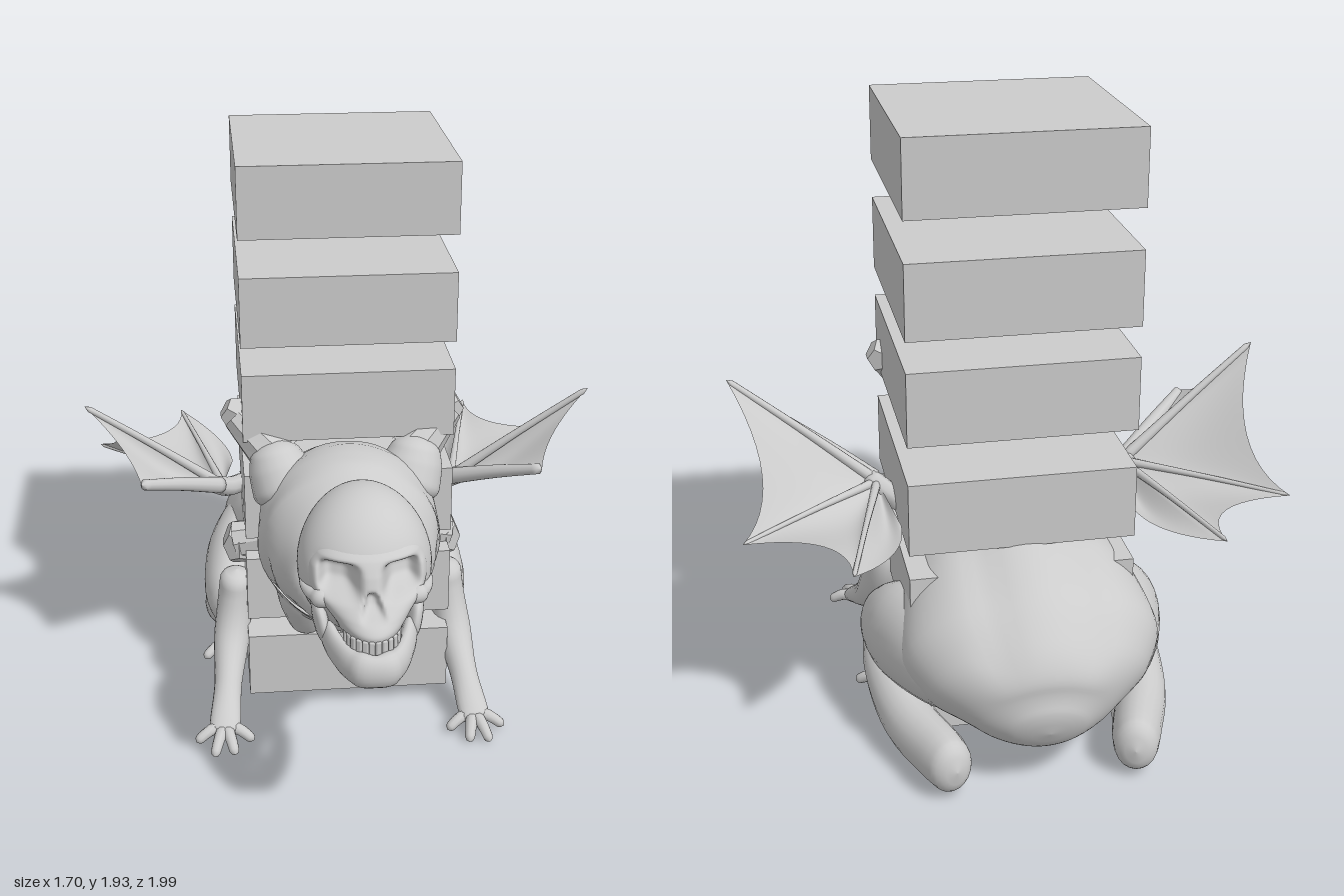
import * as THREE from 'three';
import { RoundedBoxGeometry } from 'three/addons/geometries/RoundedBoxGeometry.js';

const grey = new THREE.MeshStandardMaterial({ color: 0xcccccc });
const thin = new THREE.MeshStandardMaterial({ color: 0xcccccc, side: THREE.DoubleSide });
const faceted = new THREE.MeshStandardMaterial({ color: 0xcccccc, flatShading: true });
const X = new THREE.Vector3(1, 0, 0), Y = new THREE.Vector3(0, 1, 0);
const V = (x, y, z) => new THREE.Vector3(x, y, z);

function add(parent, name, geo, mat = grey) {
  const m = new THREE.Mesh(geo, mat);
  m.name = name;
  parent.add(m);
  return m;
}

// Skin over stations [x, y, z, radius along ref, other radius], rounded at both ends
function loft(st, { ref = X, n = 20, steps = 28, cap = 0.08, s = 1 } = {}) {
  const path = new THREE.CatmullRomCurve3(st.map(p => V(p[0] * s, p[1], p[2])));
  const radii = new THREE.CatmullRomCurve3(st.map(p => V(p[3], p[4] ?? p[3], 0)));
  const pos = [], idx = [];
  for (let i = 0; i <= steps; i++) {
    // ease the spacing so that the rounded ends get more rings
    const u = i / steps, t = u * 0.5 + (1 - Math.cos(Math.PI * u)) * 0.25;
    const c = path.getPoint(t), r = radii.getPoint(t), T = path.getTangent(t);
    const e = cap > 0 ? Math.min(1, Math.min(t, 1 - t) / cap) : 1;
    const k = Math.sqrt(Math.max(0, 1 - (1 - e) ** 2));
    const A = ref.clone().addScaledVector(T, -ref.dot(T)).normalize();
    const B = T.clone().cross(A);
    for (let j = 0; j < n; j++) {
      const a = j / n * Math.PI * 2;
      const p = c.clone().addScaledVector(A, Math.cos(a) * r.x * k).addScaledVector(B, Math.sin(a) * r.y * k);
      pos.push(p.x, p.y, p.z);
      if (i < steps) {
        const j2 = (j + 1) % n, a0 = i * n + j, a1 = i * n + j2;
        idx.push(a0, a1, a0 + n, a1, a1 + n, a0 + n);
      }
    }
  }
  return indexed(pos, idx);
}

function indexed(pos, idx) {
  const g = new THREE.BufferGeometry();
  g.setAttribute('position', new THREE.Float32BufferAttribute(pos, 3));
  g.setIndex(idx);
  g.computeVertexNormals();
  return g;
}

function warp(geo, fn) {
  const p = geo.attributes.position, v = V(0, 0, 0);
  for (let i = 0; i < p.count; i++) {
    fn(v.fromBufferAttribute(p, i));
    p.setXYZ(i, v.x, v.y, v.z);
  }
  geo.computeVertexNormals();
  return geo;
}

// Eye sockets and nose opening pressed into the front of the skull
function sockets(v) {
  if (v.z < 0.7) return;
  const x = Math.abs(v.x);
  const eye = Math.exp(-(((x - 0.09) / 0.05) ** 4 + ((v.y - 0.94) / 0.042) ** 4));
  const nose = Math.exp(-((x / (0.012 + Math.max(0, 0.92 - v.y) * 0.3)) ** 4 + ((v.y - 0.885) / 0.03) ** 4));
  v.z -= 0.09 * eye + 0.04 * nose;
}

function buildSkull() {
  const g = new THREE.Group();
  g.name = 'skull';
  add(g, 'cranium', warp(new THREE.SphereGeometry(1, 72, 56), v => {
    v.set(v.x * 0.197 * (1 + 0.14 * v.z), 0.905 + v.y * 0.225, 0.61 + v.z * 0.225);
    sockets(v);
  }));
  add(g, 'face', warp(loft([
    [0, 1.05, 0.72, 0.1, 0.03], [0, 1.0, 0.72, 0.15, 0.105], [0, 0.96, 0.72, 0.17, 0.13], [0, 0.92, 0.72, 0.174, 0.145],
    [0, 0.88, 0.72, 0.165, 0.17], [0, 0.85, 0.72, 0.14, 0.205], [0, 0.82, 0.72, 0.115, 0.228], [0, 0.79, 0.72, 0.1, 0.222],
  ], { n: 128, steps: 72, cap: 0.03 }), sockets));
  add(g, 'jaw', loft([[-0.128, 0.755, 0.75, 0.05, 0.022], [-0.1, 0.735, 0.85, 0.048, 0.026], [-0.055, 0.728, 0.94, 0.05, 0.03],
    [0, 0.728, 0.968, 0.05, 0.03], [0.055, 0.728, 0.94, 0.05, 0.03], [0.1, 0.735, 0.85, 0.048, 0.026],
    [0.128, 0.755, 0.75, 0.05, 0.022]], { ref: Y, steps: 40 }));
  for (const s of [1, -1]) {
    add(g, 'jawHinge', loft([[0.15, 0.88, 0.69, 0.018, 0.03], [0.145, 0.81, 0.73, 0.02, 0.045], [0.125, 0.72, 0.79, 0.02, 0.045]], { s, cap: 0.2 }));
    add(g, 'cheekbone', loft([[0.11, 0.87, 0.81, 0.02], [0.155, 0.872, 0.775, 0.02], [0.182, 0.87, 0.71, 0.013], [0.175, 0.875, 0.62, 0.012]], { s, ref: Y }));
  }
  const tooth = new RoundedBoxGeometry(0.018, 0.032, 0.018, 1, 0.005);
  for (let i = 0; i < 12; i++) {
    const a = (i - 5.5) * 0.235;
    for (const y of [0.797, 0.777]) {
      const t = add(g, 'tooth', tooth);
      t.position.set(Math.sin(a) * 0.078, y, 0.84 + Math.cos(a) * 0.105);
      t.rotation.y = a;
    }
  }
  return g;
}

// Four digits spread from one point
function digits(g, name, from, tips, s) {
  for (const t of tips) {
    const mid = [(from[0] + t[0]) / 2, (from[1] + t[1]) / 2 + 0.015, (from[2] + t[2]) / 2];
    add(g, name, loft([[...from, 0.026], [...mid, 0.02], [...t, 0.016]], { s, n: 10, steps: 12, cap: 0.15 }));
  }
}

function buildLimbs(s, side) {
  const g = new THREE.Group();
  g.name = side + 'Limbs';
  add(g, 'frontLeg', loft([[0.365, 0.485, -0.095, 0.055, 0.06], [0.372, 0.38, -0.1, 0.06, 0.075], [0.39, 0.25, -0.04, 0.062, 0.067],
    [0.41, 0.14, 0.1, 0.047, 0.048], [0.425, 0.07, 0.22, 0.052, 0.032], [0.43, 0.05, 0.26, 0.045, 0.022]], { s }));
  digits(g, 'finger', [0.425, 0.055, 0.22], [[0.33, 0.025, 0.27], [0.395, 0.02, 0.34], [0.465, 0.02, 0.345], [0.525, 0.03, 0.27]], s);

  add(g, 'thigh', loft([[0.12, 0.34, -0.82, 0.1, 0.1], [0.24, 0.35, -0.69, 0.15, 0.16], [0.345, 0.32, -0.48, 0.125, 0.165],
    [0.39, 0.27, -0.32, 0.09, 0.125], [0.4, 0.25, -0.21, 0.05, 0.08]], { s, n: 28 }));
  add(g, 'shin', loft([[0.4, 0.24, -0.25, 0.06, 0.07], [0.405, 0.17, -0.42, 0.075, 0.08], [0.37, 0.12, -0.65, 0.08, 0.09],
    [0.3, 0.115, -0.85, 0.075, 0.09], [0.27, 0.12, -0.95, 0.06, 0.08]], { s, cap: 0.12 }));
  add(g, 'hindFoot', loft([[0.29, 0.08, -0.88, 0.05, 0.05], [0.34, 0.07, -0.62, 0.06, 0.045], [0.39, 0.06, -0.4, 0.05, 0.035],
    [0.41, 0.045, -0.29, 0.05, 0.025]], { s }));
  digits(g, 'toe', [0.405, 0.05, -0.32], [[0.34, 0.02, -0.24], [0.39, 0.02, -0.19], [0.44, 0.02, -0.2], [0.49, 0.025, -0.26]], s);

  // Cut stumps of the upper limbs, capped with faceted ends
  add(g, 'shoulder', loft([[0.18, 0.84, 0.12, 0.12], [0.22, 0.95, 0.07, 0.1], [0.24, 1.03, 0.04, 0.065]], { s, cap: 0.25 }));
  add(g, 'upperStump', loft([[0.22, 0.96, 0.03, 0.085], [0.29, 1.03, -0.01, 0.068], [0.35, 1.09, -0.04, 0.052]], { s, n: 9, steps: 4, cap: 0 }), faceted);
  const stub = new THREE.DodecahedronGeometry(0.06);
  add(g, 'upperStumpEnd', stub, faceted).position.set(0.345 * s, 1.09, -0.05);
  add(g, 'lowerStump', loft([[0.24, 0.64, -0.05, 0.06, 0.05], [0.36, 0.61, -0.075, 0.07, 0.06]], { s, ref: Y, n: 9, steps: 3, cap: 0 }), faceted);
  const low = add(g, 'lowerStumpEnd', stub, faceted);
  low.position.set(0.355 * s, 0.6, -0.08);
  low.scale.set(0.95, 1.4, 1.15);
  return g;
}

function buildWing(s, side) {
  const g = new THREE.Group();
  g.name = side + 'Wing';
  const root = [0.4, 0.74, -0.24];
  // Rim of the membrane: tips alternate with the hollows between them
  const rim = [[0.36, 0.71, -0.5], [0.41, 0.72, -0.69], [0.545, 0.76, -0.87], [0.61, 0.755, -0.67], [0.84, 0.75, -0.605],
    [0.765, 0.87, -0.4], [0.85, 1.09, -0.16], [0.735, 0.95, -0.125], [0.67, 0.87, 0]];
  const pos = [], idx = [], sub = 12, rings = 14, cols = (rim.length - 1) / 2 * sub;
  for (let i = 0; i <= cols; i++) {
    const k = Math.min(Math.floor(i / sub), (rim.length - 3) / 2), f = i / sub - k;
    // each span is a parabola from tip to tip through the hollow
    const [a, m, b] = rim.slice(2 * k, 2 * k + 3);
    const p = a.map((_, c) => a[c] * (1 - f) * (1 - 2 * f) + m[c] * 4 * f * (1 - f) + b[c] * f * (2 * f - 1));
    for (let j = 0; j <= rings; j++) {
      const t = j / rings;
      const q = root.map((o, c) => o + (p[c] - o) * t);
      pos.push(q[0] * s, q[1] - 0.035 * Math.sin(Math.PI * f) * Math.sin(Math.PI * t), q[2]);
      if (i < cols && j < rings) {
        const v = i * (rings + 1) + j, w = v + rings + 1;
        idx.push(v, w, v + 1, w, w + 1, v + 1);
      }
    }
  }
  add(g, 'wingMembrane', indexed(pos, idx), thin);
  for (const [k, r] of [[2, 0.009], [4, 0.009], [6, 0.013], [8, 0.024]]) {
    const tip = rim[k], mid = root.map((a, c) => (a + tip[c]) / 2 + (c === 1 ? 0.004 : 0));
    add(g, 'wingBone', loft([[...root, r + 0.006], [...mid, r], [...tip, r * 0.75]], { s, ref: Y, n: 10, steps: 16, cap: 0.04 }));
  }
  add(g, 'wingRoot', loft([[0.32, 0.7, -0.36, 0.03], [0.38, 0.72, -0.27, 0.035], [0.43, 0.755, -0.22, 0.03]], { s, ref: Y, n: 8, steps: 8 }));
  return g;
}

export function createModel() {
  const model = new THREE.Group();
  model.name = 'wingedBeastWithSlabs';

  // Stack of floating slabs
  const slab = new THREE.BoxGeometry(0.69, 0.23, 0.69);
  for (const y of [0.182, 0.485, 0.795, 1.147, 1.472, 1.825]) add(model, 'slab', slab).position.set(0.012, y, -0.295);

  // Hunched rear body, with a soft ridge along the back
  add(model, 'rearBody', warp(loft([
    [0, 0.52, -0.06, 0.27, 0.15], [0, 0.515, -0.3, 0.31, 0.2], [0, 0.44, -0.52, 0.37, 0.27], [0, 0.38, -0.7, 0.395, 0.265],
    [0, 0.32, -0.83, 0.33, 0.22], [0, 0.265, -0.92, 0.2, 0.145], [0, 0.24, -0.98, 0.08, 0.06],
  ], { n: 56, steps: 48, cap: 0.05 }), v => {
    if (v.y > 0.35) v.y -= 0.02 * Math.min(1, (v.y - 0.35) * 8) * Math.exp(-(((Math.abs(v.x) - 0.14) / 0.06) ** 2));
  }));

  // Lumpy chest and neck
  add(model, 'chest', warp(loft([
    [0, 0.72, 0.47, 0.1, 0.1], [0, 0.71, 0.43, 0.19, 0.18], [0, 0.73, 0.36, 0.25, 0.24], [0, 0.75, 0.27, 0.28, 0.275],
    [0, 0.75, 0.17, 0.295, 0.3], [0, 0.68, 0.08, 0.285, 0.3], [0, 0.63, 0.01, 0.265, 0.28],
  ], { n: 56, steps: 44, cap: 0.04 }), v => {
    const lump = 1 + 0.025 * Math.sin(v.z * 42 + Math.abs(v.x) * 9) * Math.cos(v.y * 14);
    v.x *= lump;
    v.y = 0.74 + (v.y - 0.74) * lump;
  }));
  add(model, 'neck', loft([[0, 0.76, 0.3, 0.17], [0, 0.79, 0.42, 0.14], [0, 0.83, 0.55, 0.11]]));
  add(model, 'throat', new THREE.SphereGeometry(0.05, 20, 14)).position.set(0, 0.665, 0.425);

  model.add(buildSkull());
  for (const [s, side] of [[1, 'left'], [-1, 'right']]) {
    add(model, 'chestLobe', loft([[0.13, 0.62, 0.12, 0.1], [0.14, 0.5, 0.1, 0.095], [0.135, 0.41, 0.075, 0.075], [0.13, 0.33, 0.05, 0.05]], { s, cap: 0.14 }));
    model.add(buildLimbs(s, side), buildWing(s, side));
  }
  return model;
}
